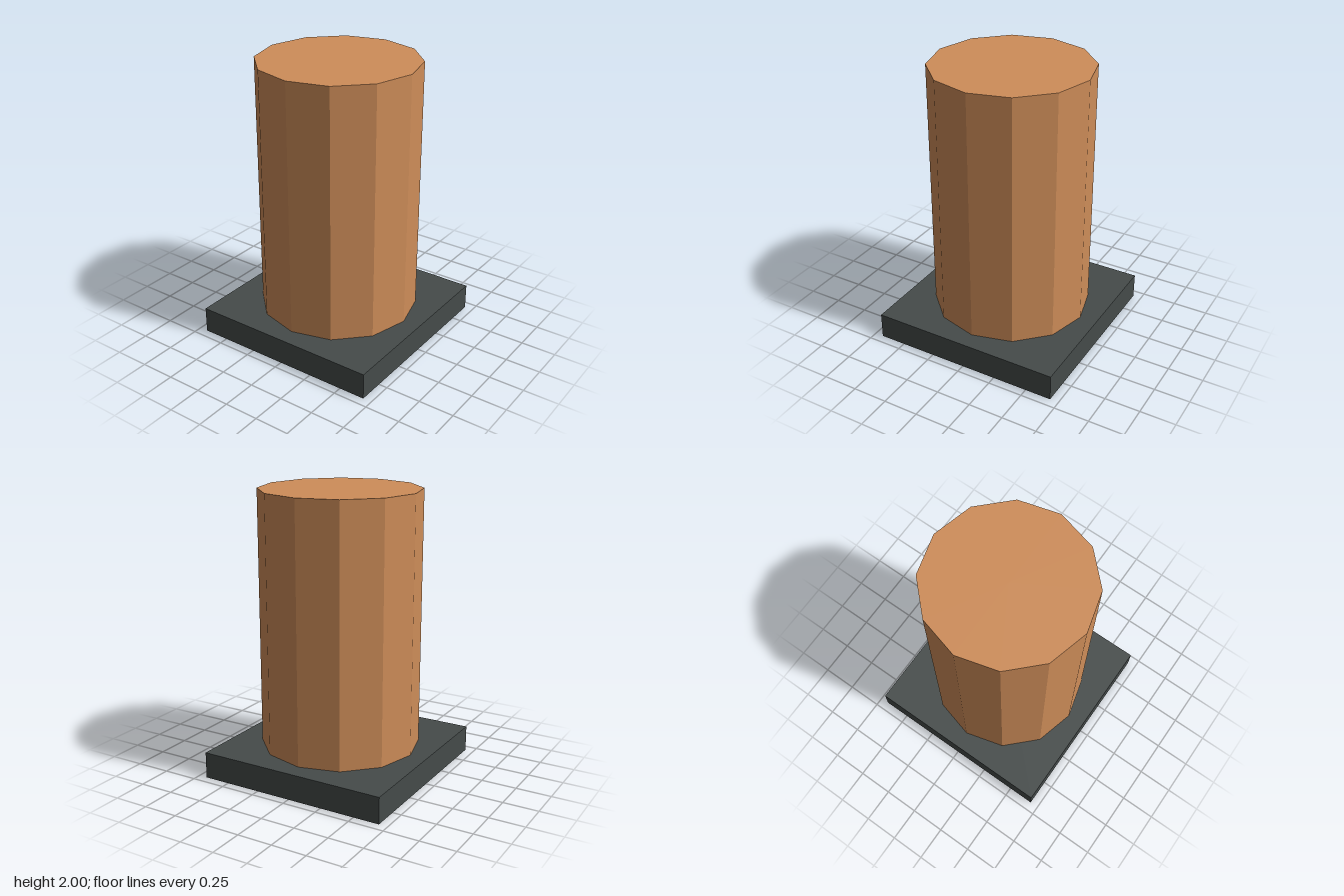
import * as THREE from 'three';

const BASE_WIDTH = 1.375;
const BASE_HEIGHT = 0.1875;
const COLUMN_RADIUS = 0.5625;
const COLUMN_HEIGHT = 2 - BASE_HEIGHT;

// Adds a flat-shaded part standing at the given height
function addPart(group, name, geometry, color, bottom, height) {
  const material = new THREE.MeshStandardMaterial({ color, flatShading: true });
  const mesh = new THREE.Mesh(geometry, material);
  mesh.name = name;
  mesh.position.y = bottom + height / 2;
  group.add(mesh);
}

export function createModel() {
  const group = new THREE.Group();
  group.name = 'columnOnBase';

  // Square plinth
  addPart(group, 'base', new THREE.BoxGeometry(BASE_WIDTH, BASE_HEIGHT, BASE_WIDTH),
    0x454b4a, 0, BASE_HEIGHT);

  // Twelve-sided column
  addPart(group, 'column', new THREE.CylinderGeometry(COLUMN_RADIUS, COLUMN_RADIUS, COLUMN_HEIGHT, 12),
    0xce8d59, BASE_HEIGHT, COLUMN_HEIGHT);

  return group;
}
